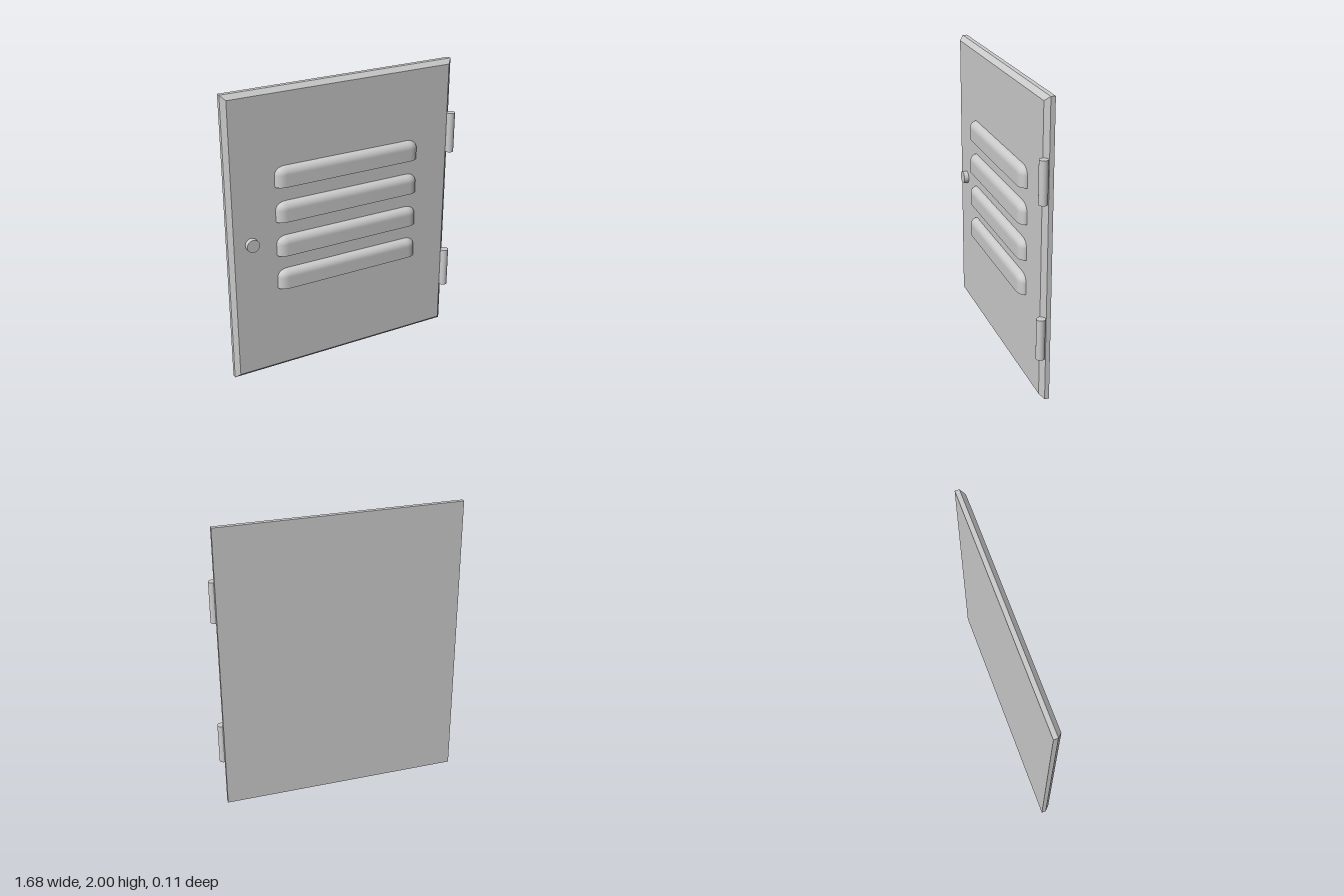
import * as THREE from 'three';
import { toCreasedNormals } from 'three/addons/utils/BufferGeometryUtils.js';

const grey = new THREE.MeshStandardMaterial({ color: 0xcccccc });

function part(name, geometry, x, y, z) {
  const mesh = new THREE.Mesh(geometry, grey);
  mesh.name = name;
  mesh.position.set(x, y, z);
  return mesh;
}

// Flat slab whose front edges are chamfered at 45 degrees
function doorGeometry(w, h, d, chamfer) {
  const g = new THREE.BoxGeometry(w, h, d, 1, 1, 2);
  const p = g.attributes.position;
  for (let i = 0; i < p.count; i++) {
    const z = p.getZ(i);
    if (Math.abs(z) < 1e-6) p.setZ(i, d / 2 - chamfer);
    else if (z > 0) {
      p.setX(i, p.getX(i) - Math.sign(p.getX(i)) * chamfer);
      p.setY(i, p.getY(i) - Math.sign(p.getY(i)) * chamfer);
    }
  }
  const flat = g.toNonIndexed();
  flat.computeVertexNormals();
  return flat;
}

// Pressed hood: rounded on top and at both ends, cut flat along the bottom
function louvreGeometry(w, h, d) {
  const levels = 8, steps = 8, insetX = 0.065, insetY = 0.05;
  const rings = [];
  for (let j = 0; j <= levels; j++) {
    const a = (j / levels) * Math.PI / 2;
    const k = 1 - Math.cos(a), z = d * Math.sin(a);
    const hw = w / 2 - insetX * k, top = h - insetY * k;
    const rx = 0.07 - insetX * k, ry = 0.055 - insetY * k;
    const right = [[hw, 0, z]];
    for (let i = 0; i <= steps; i++) {
      const b = (i / steps) * Math.PI / 2;
      right.push([hw - rx + rx * Math.cos(b), top - ry + ry * Math.sin(b), z]);
    }
    const left = right.map(([x, y, zz]) => [-x, y, zz]).reverse();
    rings.push([...right, ...left]);
  }
  const pos = [];
  const quad = (a, b, c, e) => pos.push(...a, ...b, ...c, ...a, ...c, ...e);
  const n = rings[0].length;
  for (let j = 0; j < levels; j++) {
    const r = rings[j], s = rings[j + 1];
    for (let i = 0; i < n - 1; i++) quad(r[i], r[i + 1], s[i + 1], s[i]);
    quad(r[0], s[0], s[n - 1], r[n - 1]); // flat underside
  }
  const f = rings[levels];
  for (let i = 0; i < n / 2 - 1; i++) quad(f[i], f[i + 1], f[n - 2 - i], f[n - 1 - i]);
  const g = new THREE.BufferGeometry();
  g.setAttribute('position', new THREE.Float32BufferAttribute(pos, 3));
  return toCreasedNormals(g, 0.7);
}

export function createModel() {
  const model = new THREE.Group();
  model.name = 'louvredDoor';

  // Door leaf with everything fixed to it, standing very slightly ajar
  const leaf = new THREE.Group();
  leaf.name = 'doorLeaf';
  leaf.rotation.y = -0.0073;
  model.add(leaf);

  const front = 0.009;
  leaf.add(part('doorPanel', doorGeometry(1.65, 2, 0.06, 0.03), -0.015, 1, front - 0.03));

  // Four ventilation louvres
  const louvre = louvreGeometry(1.05, 0.135, 0.045);
  for (let i = 0; i < 4; i++) leaf.add(part('louvre', louvre, 0.013, 0.622 + i * 0.243, front));

  // Round knob
  const knob = new THREE.CylinderGeometry(0.044, 0.044, 0.04, 32).rotateX(Math.PI / 2);
  leaf.add(part('knob', knob, -0.688, 0.987, front + 0.013));

  // Hinge barrels
  const barrel = new THREE.CylinderGeometry(0.029, 0.029, 0.28, 32);
  for (const y of [0.45, 1.49]) model.add(part('hinge', barrel, 0.809, y, 0.02));

  return model;
}
